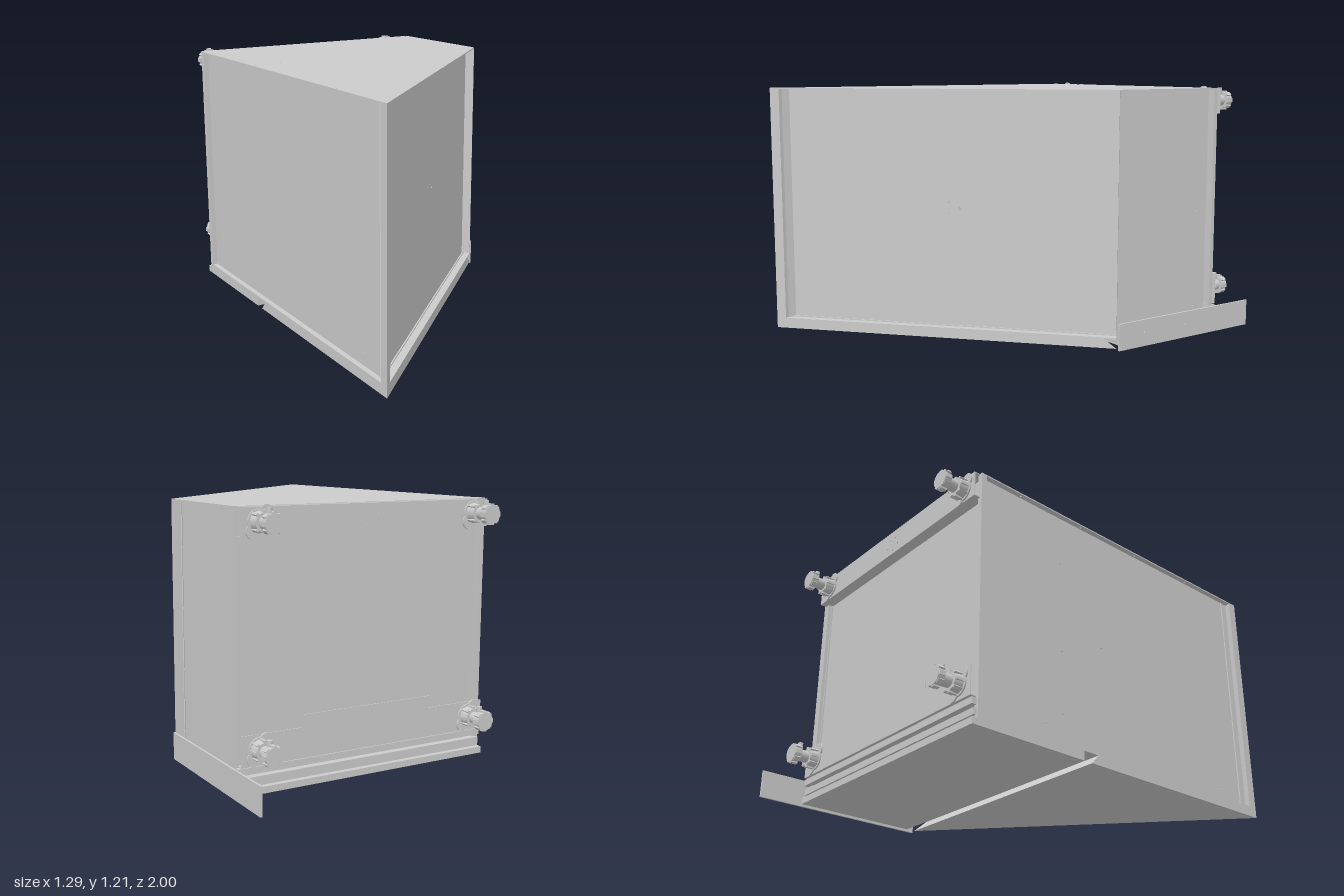
import * as THREE from 'three';

const mat = new THREE.MeshStandardMaterial({ color: 0xcccccc, side: THREE.DoubleSide });

// Footprint corners [x, z], in order round the cabinet
const A = [-0.645, 0.995], B = [0.632, -0.14], C = [0.632, -0.762], D = [-0.645, -0.762];
const diagX = z => A[0] + (A[1] - z) * (B[0] - A[0]) / (A[1] - B[1]);
const TOP = 1.205, FLOOR = 0.01, LIP = 0.055, BACK = -0.793;
// Planes of the recessed side and back panels
const LEFT_IN = -0.62, RIGHT_IN = 0.594, BACK_IN = -0.738;

export function createModel() {
  const model = new THREE.Group();

  const add = (name, geo, x = 0, y = 0, z = 0, parent = model) => {
    const m = new THREE.Mesh(geo, mat);
    m.name = name;
    m.position.set(x, y, z);
    parent.add(m);
    return m;
  };

  // Box given by its limits
  const block = (name, x0, x1, y0, y1, z0, z1) =>
    add(name, new THREE.BoxGeometry(x1 - x0, y1 - y0, z1 - z0), (x0 + x1) / 2, (y0 + y1) / 2, (z0 + z1) / 2);

  // Upright prism or flat sheet from an outline of [x, z] points, with round holes
  const slabGeo = (pts, y0, y1, holes = []) => {
    const shape = new THREE.Shape(pts.map(([x, z]) => new THREE.Vector2(x, -z)));
    for (const [x, z] of holes) shape.holes.push(new THREE.Path().absarc(x, -z, 0.004, 0, Math.PI * 2, true));
    return new THREE.ExtrudeGeometry(shape, { depth: y1 - y0, bevelEnabled: false, curveSegments: 6 })
      .rotateX(-Math.PI / 2).translate(0, y0, 0);
  };

  // Upright sheet from P to Q, s0 and s1 trimming its ends, inset from the line; holes are [s, y, radius]
  const wall = (name, P, Q, s0, s1, y0, y1, inset = 0, holes = [], t = 0.005) => {
    const dx = Q[0] - P[0], dz = Q[1] - P[1], e = Math.hypot(dx, dz) - s1;
    const shape = new THREE.Shape([[s0, y0], [e, y0], [e, y1], [s0, y1]].map(p => new THREE.Vector2(...p)));
    for (const [hs, hy, r = 0.004] of holes)
      shape.holes.push(new THREE.Path().absarc(hs, hy, r, 0, Math.PI * 2, true));
    const geo = new THREE.ExtrudeGeometry(shape, { depth: t, bevelEnabled: false, curveSegments: 8 });
    geo.translate(0, 0, -t - inset);
    add(name, geo, P[0], 0, P[1]).rotation.y = Math.atan2(-dz, dx);
  };

  // Top sheet with fixing holes
  const topHoles = [[-0.49, -0.175], [-0.01, -0.175], [0.47, -0.175], [-0.63, -0.525], [-0.63, -0.15], [-0.63, 0.22],
    [-0.63, 0.6], [0.61, -0.525], [0.545, -0.09], [0.27, 0.155], [-0.012, 0.405], [-0.29, 0.655], [-0.57, 0.9]];
  add('topPanel', slabGeo([A, B, C, D], TOP - 0.006, TOP, topHoles));
  add('subFloor', slabGeo([A, B, C, D], LIP, LIP + 0.006));

  // Front bottom tray, its rear edge sloping forward towards the top
  const zTop = -0.1, zBottom = -0.14;
  const tray = slabGeo([A, [diagX(zBottom), zBottom], [A[0], zBottom]], FLOOR, LIP);
  const p = tray.attributes.position;
  for (let i = 0; i < p.count; i++) {
    if (p.getY(i) > 0.03 && p.getZ(i) < 0) {
      p.setZ(i, zTop);
      if (p.getX(i) > 0) p.setX(i, diagX(zTop));
    }
  }
  tray.computeVertexNormals();
  add('frontTray', tray);

  // Rear bottom tray and the stepped rails at its back edge
  block('rearTray', D[0], C[0], FLOOR, LIP, -0.765, -0.185);
  block('lowerRail', D[0], C[0], FLOOR, 0.04, -0.79, -0.765);
  block('middleRail', D[0] + 0.01, C[0], 0.055, 0.085, -0.778, BACK_IN);
  block('upperRail', D[0] + 0.01, C[0], 0.1, 0.13, -0.785, BACK_IN);

  // Corner posts, whose inner faces step back to the recessed panels
  const posts = {
    frontLeftPost: [A, [-0.61, 0.964], [LEFT_IN, 0.93], [LEFT_IN, 0.95], [A[0], 0.95]],
    frontRightPost: [B, [B[0], -0.174], [RIGHT_IN, -0.174], [0.602, -0.174]],
    backRightPost: [[C[0], -0.74], C, [RIGHT_IN, C[1]], [RIGHT_IN, -0.74]],
    backLeftPost: [[LEFT_IN, -0.735], [LEFT_IN, D[1]], D, [D[0], -0.735]],
  };
  for (const [name, pts] of Object.entries(posts)) add(name, slabGeo(pts, LIP, TOP - 0.006));
  wall('frontRightReturn', [0.602, -0.174], B, 0, 0, LIP, TOP - 0.006, -0.003,
    [[0.016, 0.12], [0.016, 0.205, 0.014], [0.016, 0.5], [0.016, 0.88], [0.016, 1.185]], 0.002);

  // Recessed panels
  wall('frontPanel', A, B, 0.073, 0, LIP, TOP - 0.006, 0.045, [[0.89, 0.665], [0.89, 0.61], [0.945, 0.637, 0.006]]);
  wall('frontSill', A, B, 0.06, 0.005, LIP, LIP + 0.012, 0.035);
  wall('rightPanel', [RIGHT_IN, -0.17], [RIGHT_IN, -0.745], 0, 0, LIP, TOP - 0.006, 0, [[0.5, 0.61], [0.5, 0.135]]);
  wall('leftPanel', [LEFT_IN, -0.75], [LEFT_IN, 0.95], 0, 0, LIP, TOP - 0.006, 0,
    [[0.47, 0.95], [0.47, 0.5], [0.47, 0.2], [0.72, 0.6], [1.52, 0.12], [0.37, 0.13]]);
  wall('backPanel', [RIGHT_IN, BACK_IN], [LEFT_IN, BACK_IN], 0, 0, LIP, TOP - 0.006);

  // Long skirt below the right side
  wall('rightSkirt', [0.645, -0.147], [0.645, -1], 0, 0, 0, 0.128, 0, [[0.155, 0.07], [0.42, 0.07]], 0.01);

  // Upper channel and lower plate with a raised middle, standing off the back
  const x0 = -0.632, x1 = 0.622;
  wall('backTopBand', [x1, BACK], [x0, BACK], 0, 0, 1.08, TOP - 0.002, 0,
    [[0.6, 1.12], [0.62, 1.16], [0.66, 1.16], [0.68, 1.12], [0.64, 1.1]], 0.004);
  for (const y of [1.08, TOP - 0.006]) block('backTopFlange', x0, x1, y, y + 0.004, BACK, BACK_IN);
  const plate = new THREE.Shape([[x0, 0.135], [x1, 0.135], [x1, 0.27], [0.33, 0.27], [0.33, 0.325],
    [-0.33, 0.325], [-0.33, 0.27], [x0, 0.27]].map(q => new THREE.Vector2(...q)));
  add('backLowerPlate', new THREE.ExtrudeGeometry(plate, { depth: 0.004, bevelEnabled: false }), 0, 0, BACK);
  block('backLowerFlange', x0, x1, 0.135, 0.139, BACK, BACK_IN);

  // Four adjustable feet on the back, axis along z
  const disc = (r0, r1, h, n = 24) => new THREE.CylinderGeometry(r0, r1, h, n).rotateX(-Math.PI / 2);
  for (const x of [-0.555, 0.535]) for (const y of [1.142, 0.205]) {
    const foot = new THREE.Group();
    foot.name = 'foot';
    foot.position.set(x, y, -0.792);
    model.add(foot);
    add('footPlate', disc(0.055, 0.055, 0.008), 0, 0, -0.004, foot);
    for (const s of [-1, 1]) add('plateLug', disc(0.033, 0.033, 0.008), s * 0.03, -s * 0.037, -0.004, foot);
    add('footSocket', disc(0.041, 0.046, 0.042), 0, 0, -0.028, foot);
    add('footNeck', disc(0.028, 0.028, 0.06), 0, 0, -0.072, foot);
    add('footPad', disc(0.042, 0.04, 0.034), 0, 0, -0.113, foot);
    for (let i = 0; i < 8; i++) {
      const a = i * Math.PI / 4;
      const spoke = (name, r, w, d, z) => {
        const rib = add(name, new THREE.BoxGeometry(0.012, w, d), Math.cos(a) * r, Math.sin(a) * r, z, foot);
        rib.rotation.z = a;
      };
      spoke('socketRib', 0.044, 0.012, 0.042, -0.028);
      spoke('padTooth', 0.041, 0.02, 0.03, -0.112);
    }
    add('adjusterKnob', new THREE.CylinderGeometry(0.012, 0.012, 0.035, 10), 0, 0.043, -0.085, foot);
  }
  return model;
}
